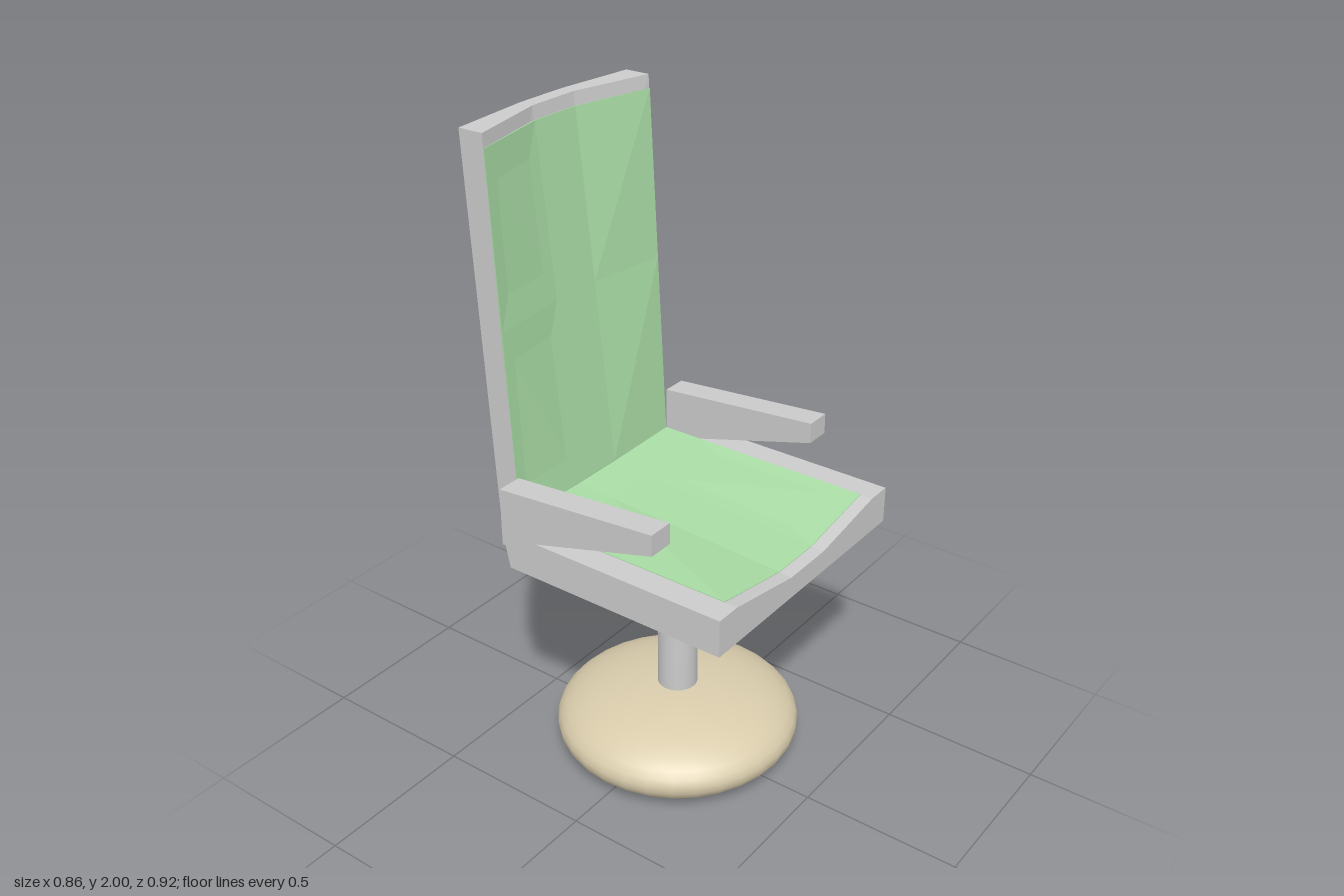
import * as THREE from 'three';
import { toCreasedNormals } from 'three/addons/utils/BufferGeometryUtils.js';

const paint = (color, flatShading = true) =>
  new THREE.MeshStandardMaterial({ color, flatShading, side: THREE.DoubleSide });
const grey = paint(0xcccccc);
const green = paint(0xa9dca5);
const tan = paint(0xd9ccac, false);
const smoothGrey = paint(0xcccccc, false);

// Solid through sections; each section is a pair of equal rows [a, b] of points.
function slab(sections) {
  const pos = [];
  const quad = (a, b, c, d) => pos.push(...a, ...b, ...c, ...a, ...c, ...d);
  const rings = sections.map(([a, b]) => [...a, ...[...b].reverse()]);
  for (let k = 0; k < rings.length - 1; k++) {
    const r = rings[k], s = rings[k + 1];
    for (let i = 0; i < r.length; i++) {
      const j = (i + 1) % r.length;
      quad(r[i], r[j], s[j], s[i]);
    }
  }
  const [a0, b0] = sections[0], [a1, b1] = sections[sections.length - 1];
  for (let i = 0; i < a0.length - 1; i++) {
    quad(a0[i], b0[i], b0[i + 1], a0[i + 1]);
    quad(a1[i], a1[i + 1], b1[i + 1], b1[i]);
  }
  const geo = new THREE.BufferGeometry();
  geo.setAttribute('position', new THREE.Float32BufferAttribute(pos, 3));
  geo.computeVertexNormals();
  return geo;
}

const PAD_X = [-0.35, -0.085, 0.085, 0.35];
const SEAT_X = [-0.43, ...PAD_X, 0.43];
const isMiddle = (x) => Math.abs(x) < 0.1;

export function createModel() {
  const model = new THREE.Group();
  const add = (name, geo, mat) => {
    const mesh = new THREE.Mesh(geo, mat);
    mesh.name = name;
    model.add(mesh);
    return mesh;
  };

  // Seat, with a shallow trough that fades toward the back: [z, middle height]
  const trough = [[-0.295, 0.87], [-0.17, 0.86], [0.42, 0.83], [0.46, 0.828]];
  const seatTop = (x, dip) => (isMiddle(x) ? dip : 0.875);
  add('seat', slab(trough.map(([z, dip], k) => [
    SEAT_X.map((x) => [x, 0.76, k ? z : -0.27]),
    SEAT_X.map((x) => [x, seatTop(x, dip), z]),
  ])), grey);
  add('seatPad', slab(trough.slice(0, 3).map(([z, dip]) => [
    PAD_X.map((x) => [x, seatTop(x, dip) - 0.003, z]),
    PAD_X.map((x) => [x, seatTop(x, dip) + 0.002, z]),
  ])), green);

  // Backrest, flat at the bottom and bowed at the top
  const frontZ = (x, y) => -0.298 - (Math.max(y - 0.875, 0) / 1.125) * (isMiddle(x) ? 0.117 : 0.057);
  // [height, back z at the sides, back z in the middle]
  const backLine = [[0.76, -0.373, -0.373], [0.875, -0.373, -0.373],
    [1.45, -0.405, -0.41], [2, -0.436, -0.461]];
  add('backrest', slab(backLine.map(([y, side, middle]) => [
    PAD_X.map((x) => [x, y, y < 0.8 ? -0.265 : frontZ(x, y)]),
    PAD_X.map((x) => [x, y, isMiddle(x) ? middle : side]),
  ])), grey);
  add('backPad', slab([0.86, 0.875, 1.45, 1.96].map((y) => [
    PAD_X.map((x) => [x, y, frontZ(x, y) + 0.002]),
    PAD_X.map((x) => [x, y, frontZ(x, y) - 0.003]),
  ])), green);

  // Armrests, drawn as a (z, y) profile
  const armProfile = new THREE.Shape([[0.24, 0.99], [0.24, 1.055], [-0.295, 1.01], [-0.295, 0.87],
    [-0.275, 0.79], [-0.17, 0.79], [-0.17, 0.875]].map(([z, y]) => new THREE.Vector2(z, y)));
  for (const [name, outer] of [['leftArmrest', 0.43], ['rightArmrest', -0.35]]) {
    const geo = new THREE.ExtrudeGeometry(armProfile, { depth: 0.08, bevelEnabled: false });
    add(name, geo.rotateY(-Math.PI / 2).translate(outer, 0, 0), grey);
  }

  // Post
  const post = new THREE.CylinderGeometry(0.062, 0.062, 0.58, 24);
  add('post', toCreasedNormals(post, 0.6), smoothGrey).position.set(0, 0.48, 0.008);

  // Height lever
  const leverPath = new THREE.CatmullRomCurve3([[-0.03, 0.71], [-0.1, 0.67], [-0.18, 0.633], [-0.24, 0.607]]
    .map(([x, y]) => new THREE.Vector3(x, y, 0.008)));
  add('lever', new THREE.TubeGeometry(leverPath, 4, 0.024, 6), grey);
  const tip = add('leverTip', new THREE.CircleGeometry(0.024, 6), grey);
  tip.position.copy(leverPath.getPoint(1));
  tip.lookAt(tip.position.clone().add(leverPath.getTangent(1)));

  // Rounded base, hollow underneath
  const profile = [[0, 0.075], [0.12, 0.07], [0.21, 0.05], [0.25, 0]].map((p) => new THREE.Vector2(...p));
  for (let i = 0; i <= 14; i++) {
    const a = -Math.PI / 4 + (i / 14) * Math.PI * 0.75;
    const height = a < 0 ? 0.1414 : 0.13;
    profile.push(new THREE.Vector2(Math.max(0.38 * Math.cos(a), 0), 0.1 + height * Math.sin(a)));
  }
  const base = new THREE.LatheGeometry(profile, 32);
  // Four notches in the lower rim
  const p = base.attributes.position;
  for (let i = 0; i < p.count; i++) {
    const angle = Math.atan2(p.getZ(i), p.getX(i));
    if (p.getY(i) < 0.005 && Math.abs(Math.cos(2 * angle)) < 0.3) p.setY(i, 0.025);
  }
  add('base', toCreasedNormals(base, 0.6), tan).position.z = 0.008;

  return model;
}
